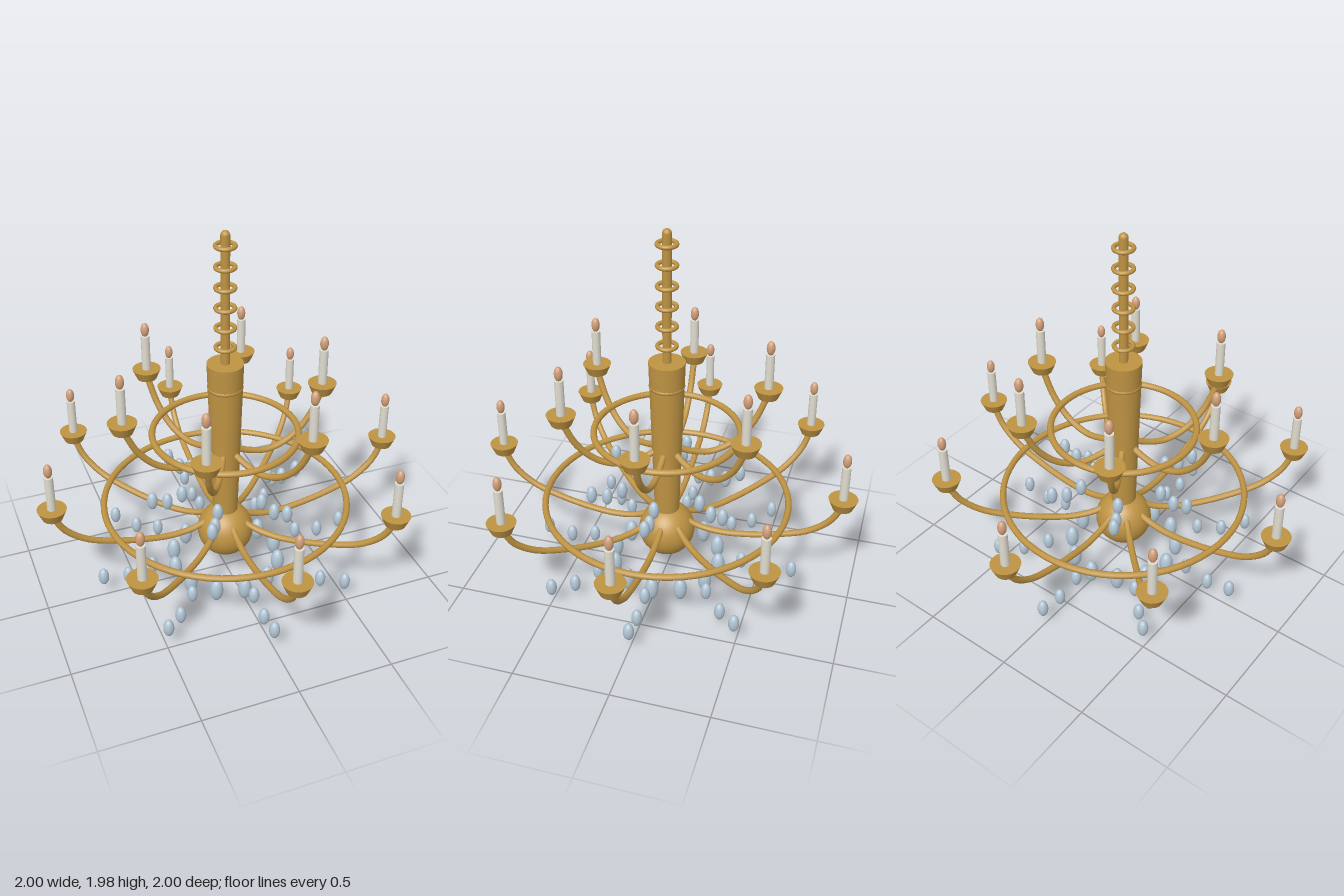
import * as THREE from 'three';

const mat = (name, color) => {
  const m = new THREE.MeshStandardMaterial({ color });
  m.name = name;
  return m;
};

export function createModel() {
  const gold = mat('antique gold', 0xbe9343);
  const wax = mat('candle wax', 0xe0dcd0);
  const glow = mat('flame amber', 0xd2a07a);
  const glass = mat('crystal glass', 0xb2c5d4);

  const model = new THREE.Group();
  model.name = 'chandelier';

  const add = (parent, name, geometry, material, x = 0, y = 0, z = 0) => {
    const mesh = new THREE.Mesh(geometry, material);
    mesh.name = name;
    mesh.position.set(x, y, z);
    parent.add(mesh);
    return mesh;
  };
  const flatRing = (radius, tube, segments = 64) =>
    new THREE.TorusGeometry(radius, tube, 10, segments).rotateX(Math.PI / 2);
  const ellipsoid = (r, h) => new THREE.SphereGeometry(1, 16, 12).scale(r, h, r);

  // Central stem: tapered column, collar and ball
  add(model, 'column', new THREE.CylinderGeometry(0.093, 0.063, 0.985, 32), gold, 0, 0.7925, 0);
  add(model, 'collar', flatRing(0.078, 0.014, 24), gold, 0, 1.15, 0);
  add(model, 'ball', new THREE.SphereGeometry(0.15, 32, 24), gold, 0, 0.262, 0);

  // Hanging rod with its rings
  add(model, 'hangingRod', new THREE.CapsuleGeometry(0.023, 0.7, 6, 16), gold, 0, 1.607, 0);
  const link = flatRing(0.047, 0.011, 24);
  for (let i = 0; i < 6; i++) add(model, 'rodRing', link, gold, 0, 1.374 + i * 0.106, 0);

  // Large hoops
  add(model, 'lowerHoop', flatRing(0.645, 0.017), gold, 0, 0.46, 0);
  add(model, 'upperHoop', flatRing(0.375, 0.017), gold, 0, 0.882, 0);

  // Arms with cup, candle and flame
  const cup = new THREE.CylinderGeometry(0.075, 0.052, 0.055, 24);
  const candle = new THREE.CylinderGeometry(0.023, 0.023, 0.2, 16);
  const flame = ellipsoid(0.022, 0.039);

  const armTier = (name, count, points) => {
    const path = new THREE.CatmullRomCurve3(points.map(([x, y]) => new THREE.Vector3(x, y, 0)));
    const tube = new THREE.TubeGeometry(path, 32, 0.017, 10);
    const [r, y] = points[points.length - 1];
    for (let i = 0; i < count; i++) {
      const arm = new THREE.Group();
      arm.name = name;
      arm.rotation.y = (i / count) * Math.PI * 2;
      add(arm, 'arm', tube, gold);
      add(arm, 'cup', cup, gold, r, y + 0.0175, 0);
      add(arm, 'candle', candle, wax, r, y + 0.14, 0);
      add(arm, 'flame', flame, glow, r, y + 0.275, 0);
      model.add(arm);
    }
  };
  armTier('lowerArm', 8, [[0.07, 0.352], [0.18, 0.307], [0.3, 0.293], [0.44, 0.307],
    [0.6, 0.342], [0.76, 0.4], [0.87, 0.49], [0.924, 0.593]]);
  armTier('upperArm', 6, [[0.03, 0.785], [0.13, 0.738], [0.24, 0.718], [0.36, 0.76],
    [0.465, 0.865], [0.538, 1.015]]);

  // Circles of hanging crystals
  const drop = ellipsoid(0.028, 0.05);
  const bigDrop = ellipsoid(0.036, 0.068);
  const crystalCircle = (count, radius, y, geometry) => {
    for (let i = 0; i < count; i++) {
      const a = (i / count) * Math.PI * 2;
      add(model, 'crystal', geometry, glass, radius * Math.cos(a), y, radius * Math.sin(a));
    }
  };
  crystalCircle(8, 0.69, 0.124, drop);
  crystalCircle(8, 0.555, 0.095, drop);
  crystalCircle(8, 0.418, 0.124, drop);
  crystalCircle(12, 0.29, 0.068, bigDrop);
  crystalCircle(6, 0.404, 0.548, drop);
  crystalCircle(6, 0.323, 0.522, drop);
  crystalCircle(6, 0.242, 0.548, drop);

  return model;
}
